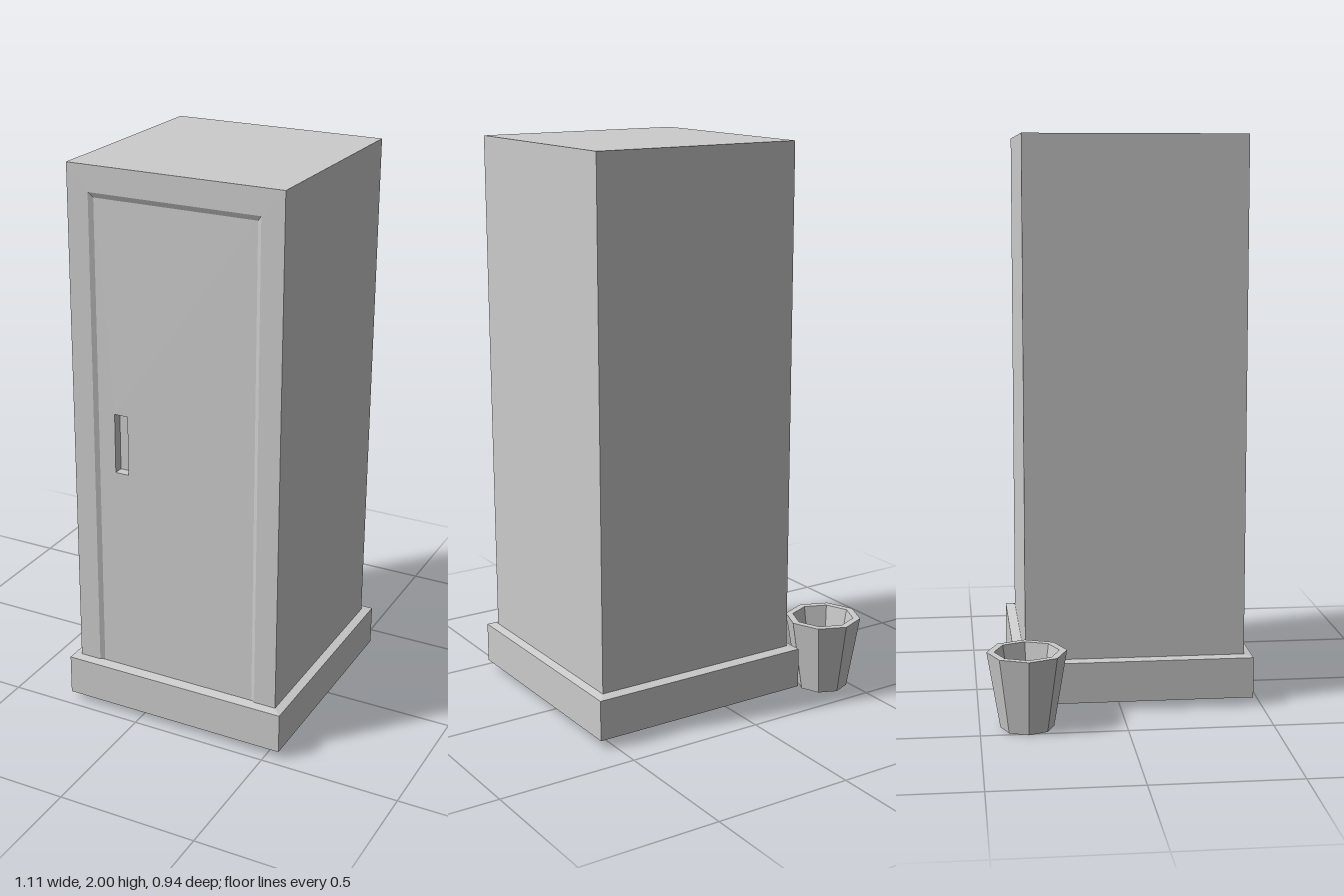
import * as THREE from 'three';

// Four corners, counterclockwise: upright (facing +z) or lying flat (facing +y)
const upright = (x0, x1, y0, y1, z) => [[x0, y0, z], [x1, y0, z], [x1, y1, z], [x0, y1, z]];
const flat = (x0, x1, z0, z1, y) => [[x0, y, z1], [x1, y, z1], [x1, y, z0], [x0, y, z0]];

// Skin a series of four-corner loops with flat quads
function loft(loops) {
  const pos = [];
  for (let k = 0; k < loops.length - 1; k++) {
    const a = loops[k], b = loops[k + 1];
    for (let i = 0; i < 4; i++) {
      const j = (i + 1) % 4;
      pos.push(...a[i], ...a[j], ...b[j], ...a[i], ...b[j], ...b[i]);
    }
  }
  const geo = new THREE.BufferGeometry();
  geo.setAttribute('position', new THREE.Float32BufferAttribute(pos, 3));
  geo.computeVertexNormals();
  return geo;
}

// Flat panel facing +z with a rectangular opening
function panel(outer, hole) {
  const toPoints = (loop) => loop.map(([x, y]) => new THREE.Vector2(x, y));
  const shape = new THREE.Shape(toPoints(outer));
  shape.holes.push(new THREE.Path(toPoints(hole)));
  return new THREE.ShapeGeometry(shape).translate(0, 0, outer[0][2]);
}

export function createModel() {
  const model = new THREE.Group();
  const grey = new THREE.MeshStandardMaterial({ color: 0xcccccc, flatShading: true });
  grey.name = 'light grey';
  const add = (name, geo, parent = model) => {
    const mesh = new THREE.Mesh(geo, grey);
    mesh.name = name;
    parent.add(mesh);
    return mesh;
  };

  // Cabinet box without its front face (the front is built from panels)
  const x0 = -0.255, x1 = 0.52, z0 = -0.335, z1 = 0.44, y0 = 0.1;
  const box = new THREE.BoxGeometry(x1 - x0, 2 - y0, z1 - z0);
  const index = Array.from(box.index.array);
  index.splice(24, 6);
  box.setIndex(index);
  box.clearGroups();
  box.translate((x0 + x1) / 2, (2 + y0) / 2, (z0 + z1) / 2);
  add('cabinetBody', box);

  // Front frame, bevel down to the door, door and recessed handle
  const front = new THREE.Group();
  front.name = 'cabinetFront';
  model.add(front);
  const opening = upright(-0.177, 0.44, 0.13, 1.91, z1);
  const door = upright(-0.162, 0.425, 0.145, 1.892, z1 - 0.009);
  const slot = upright(-0.1, -0.05, 0.935, 1.15, z1 - 0.009);
  const slotBack = upright(-0.1, -0.05, 0.935, 1.15, z1 - 0.044);
  const slotCentre = upright(-0.075, -0.075, 1.04, 1.04, z1 - 0.044);
  add('doorFrame', panel(upright(x0, x1, y0, 2, z1), opening), front);
  add('doorBevel', loft([opening, door]), front);
  add('door', panel(door, slot), front);
  add('handleRecess', loft([slot, slotBack, slotCentre]), front);

  // Plinth with slightly sloped top and underside
  const plinth = (inset, y) =>
    flat(-0.285 + inset, 0.55 - inset, -0.37 + inset, 0.47 - inset, y);
  const centre = flat(0.13, 0.13, 0.05, 0.05, 0.025);
  add('plinth', loft([centre, plinth(0.02, 0.025), plinth(0, 0.03),
    plinth(0, 0.175), plinth(0.035, 0.182)]));

  // Eight-sided waste bin, open at the top
  const profile = [[0, 0], [0.092, 0], [0.137, 0.265], [0.111, 0.265], [0.07, 0.04], [0, 0.04]]
    .map(([r, y]) => new THREE.Vector2(r, y));
  add('wasteBin', new THREE.LatheGeometry(profile, 8)).position.set(-0.419, 0, -0.338);

  return model;
}
